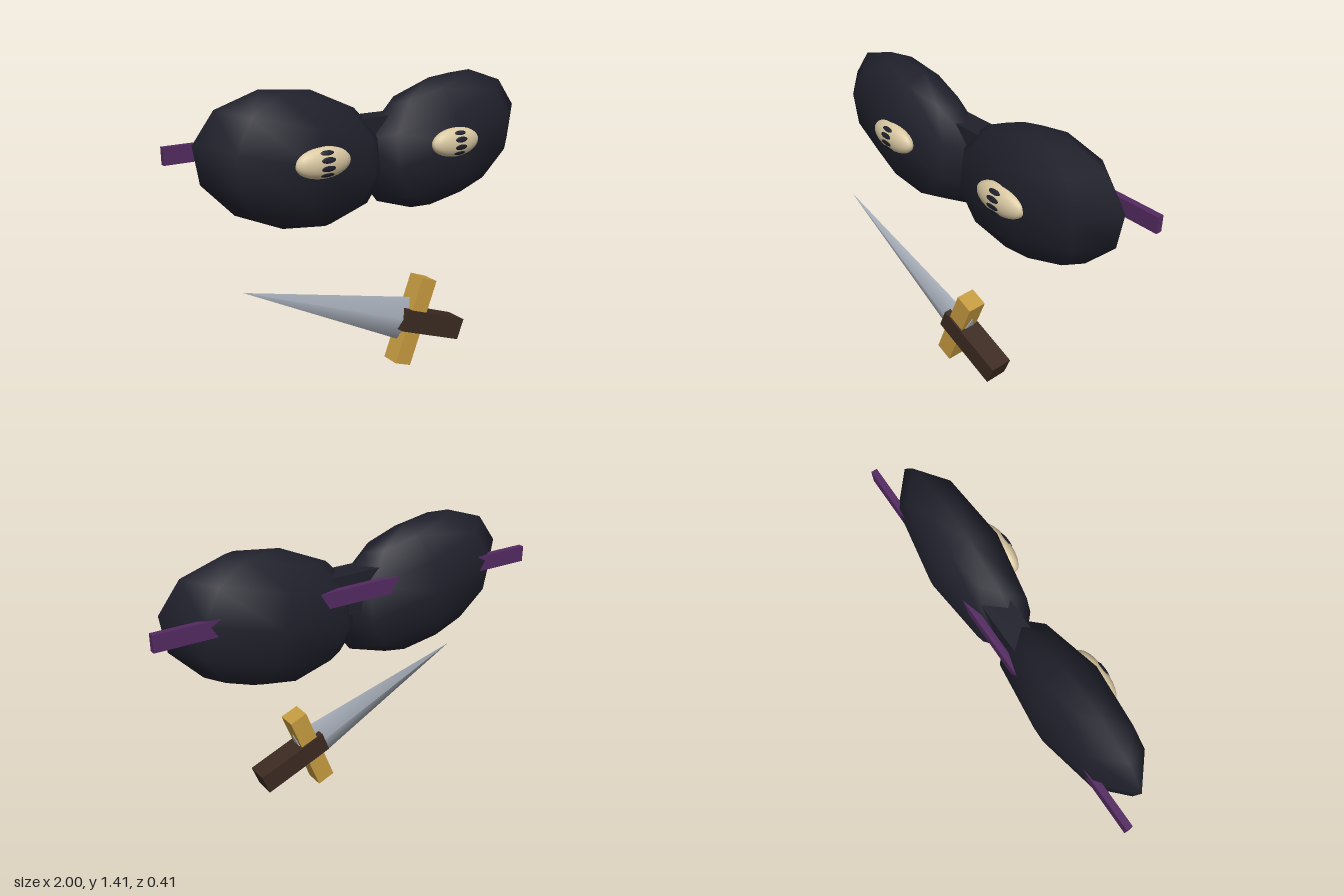
import * as THREE from 'three';

const mat = (name, color) => {
  const m = new THREE.MeshStandardMaterial({ color });
  m.name = name;
  return m;
};

export function createModel() {
  const dark = mat('dark cloth', 0x20202c);
  const purple = mat('purple strap', 0x542a61);
  const cream = mat('cream', 0xd9c8a2);
  const gold = mat('gold', 0xc59b40);
  const brown = mat('brown leather', 0x3b2a20);
  const steel = mat('steel', 0xa8afba);

  const add = (parent, name, geometry, material, x, y, z) => {
    const mesh = new THREE.Mesh(geometry, material);
    mesh.name = name;
    mesh.position.set(x, y, z);
    parent.add(mesh);
    return mesh;
  };
  const box = (w, h, d) => new THREE.BoxGeometry(w, h, d);

  const model = new THREE.Group();
  model.name = 'maskAndDagger';

  // Mask: two tilted lobes, a bridge and a strap behind
  const mask = new THREE.Group();
  mask.name = 'mask';
  model.add(mask);
  const lobeGeo = new THREE.SphereGeometry(1, 8, 6);
  const eyeGeo = new THREE.SphereGeometry(1, 24, 16);
  for (const [side, s] of [['left', 1], ['right', -1]]) {
    const lobe = add(mask, side + 'Lobe', lobeGeo, dark, s * 0.42, 1.085, -0.02);
    lobe.scale.set(0.513, 0.322, 0.185);
    lobe.rotation.z = s * 0.25;

    // Eye with a broken, slit-like column of dark marks
    const eye = add(mask, side + 'Eye', eyeGeo, cream, s * 0.38, 1.1, 0.148);
    eye.scale.set(0.142, 0.072, 0.05);
    for (const [dy, w, h] of [[0.05, 0.034, 0.012], [0.019, 0.036, 0.014], [-0.019, 0.036, 0.014], [-0.05, 0.034, 0.012]]) {
      const z = 0.148 + 0.05 * Math.sqrt(1 - (dy / 0.072) ** 2);
      const mark = add(mask, side + 'PupilMark', eyeGeo, dark, s * 0.38, 1.1 + dy, z - 0.001);
      mark.scale.set(w, h, 0.004);
      mark.rotation.x = -Math.atan2(dy / 0.072 ** 2, (z - 0.148) / 0.05 ** 2);
    }
  }
  add(mask, 'bridge', box(0.3, 0.2, 0.12), dark, 0, 1.14, -0.05);
  add(mask, 'strap', box(2, 0.078, 0.03), purple, 0, 1.157, -0.14);

  // Dagger: lies along its local x axis, tip towards -x
  const dagger = new THREE.Group();
  dagger.name = 'dagger';
  dagger.position.set(0.115, 0.23, 0.15);
  dagger.rotation.z = -0.37;
  model.add(dagger);
  const bladeGeo = new THREE.ConeGeometry(0.122, 1.033, 4);
  bladeGeo.scale(1, 1, 0.38);
  bladeGeo.rotateZ(Math.PI / 2);
  add(dagger, 'blade', bladeGeo, steel, -0.4645, 0, 0);
  add(dagger, 'guard', box(0.096, 0.445, 0.096), gold, 0, 0, 0);
  add(dagger, 'grip', box(0.386, 0.11, 0.113), brown, 0.113, 0, 0);

  return model;
}
